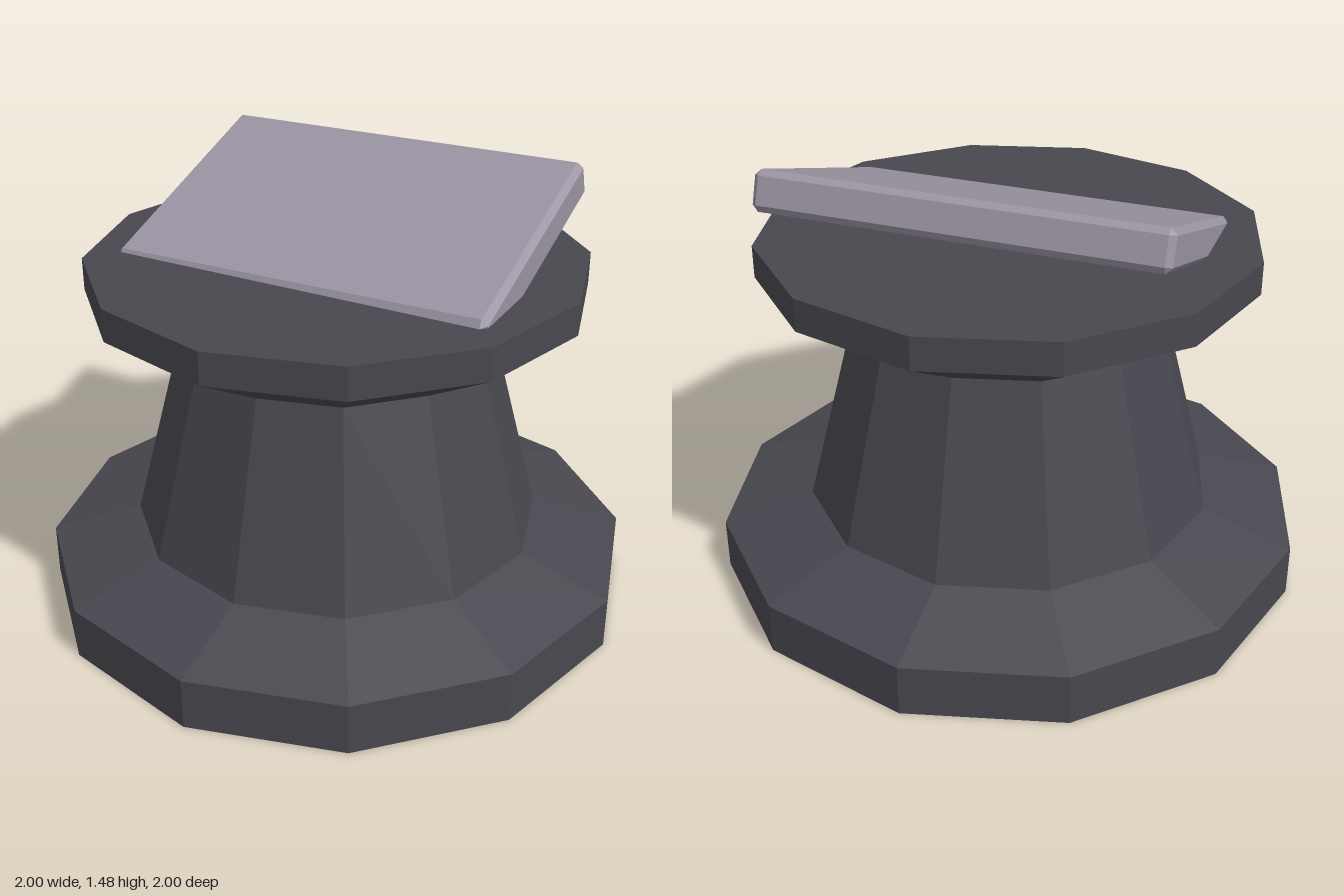
import * as THREE from 'three';
import { ConvexGeometry } from 'three/addons/geometries/ConvexGeometry.js';

const charcoal = new THREE.MeshStandardMaterial({ color: 0x48474f });
charcoal.name = 'charcoal';
const paleGrey = new THREE.MeshStandardMaterial({ color: 0x9a93a2 });
paleGrey.name = 'paleGrey';

// Box with every edge and corner cut flat
function chamferedBox(width, height, depth, cut) {
  const half = [width / 2, height / 2, depth / 2];
  const points = [];
  for (const sx of [-1, 1]) for (const sy of [-1, 1]) for (const sz of [-1, 1]) {
    const sign = [sx, sy, sz];
    for (let face = 0; face < 3; face++) {
      points.push(new THREE.Vector3(...half.map((h, i) => sign[i] * (i === face ? h : h - cut))));
    }
  }
  return new ConvexGeometry(points);
}

// Twelve-sided faceted turning from [radius, height] pairs
function facetedLathe(profile) {
  const points = profile.map(([r, y]) => new THREE.Vector2(r, y));
  const geometry = new THREE.LatheGeometry(points, 12).toNonIndexed();
  geometry.computeVertexNormals();
  return geometry;
}

export function createModel() {
  const model = new THREE.Group();
  model.name = 'pedestal';

  // Foot, tapering column and flared table top
  const pedestal = new THREE.Mesh(facetedLathe([
    [0, 0], [1, 0], [1, 0.175],
    [0.695, 0.265], [0.525, 0.915],
    [0.825, 1.09], [0.825, 1.198], [0, 1.198],
  ]), charcoal);
  pedestal.name = 'pedestalBody';
  model.add(pedestal);

  // Tilted plate, its front edge sunk into the table top
  const plate = new THREE.Mesh(chamferedBox(1.305, 0.13, 0.84, 0.02), paleGrey);
  plate.name = 'tiltedPlate';
  plate.position.set(0, 1.282, -0.095);
  plate.rotation.set(0.323, 0, 0.011);
  model.add(plate);

  return model;
}
